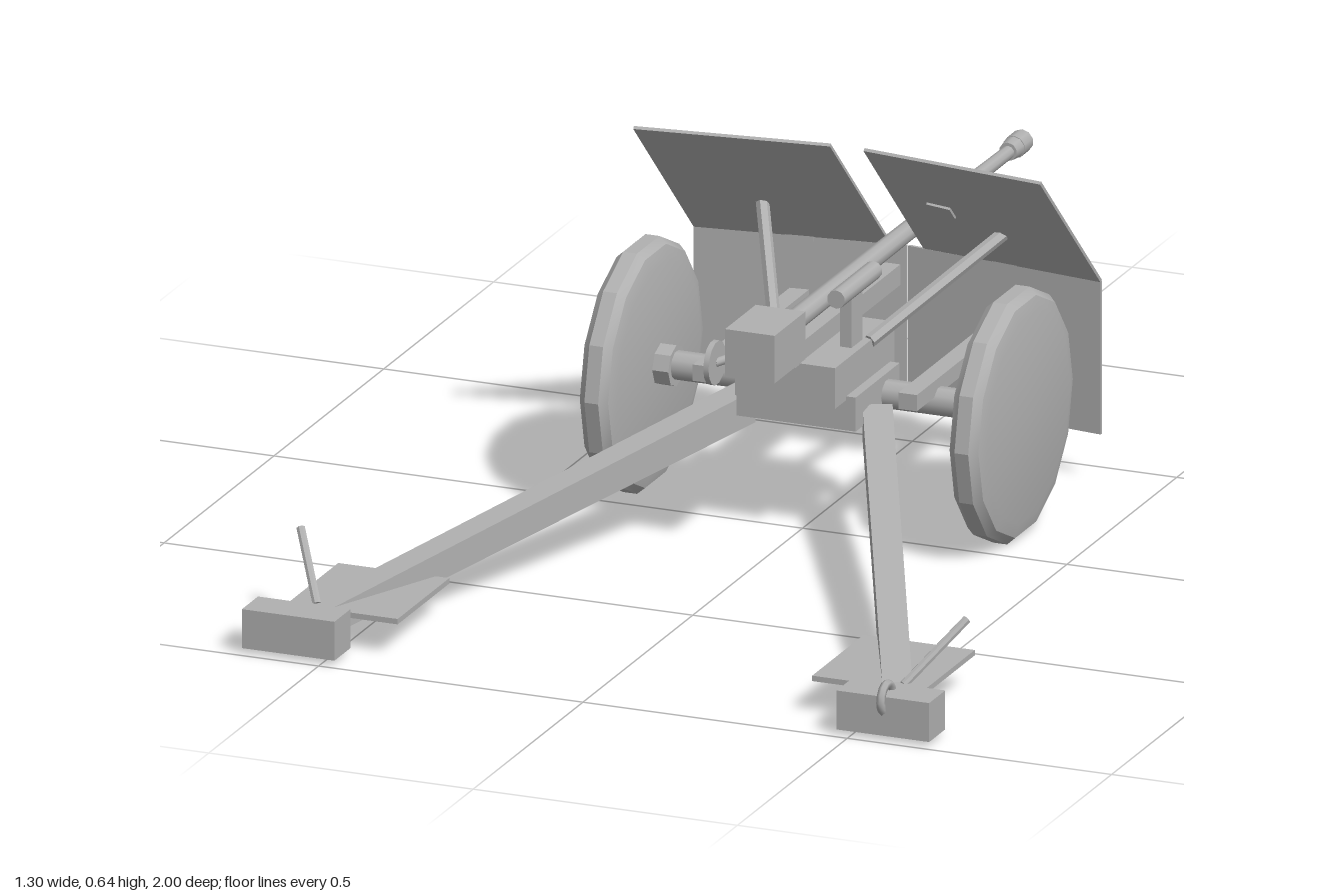
import * as THREE from 'three';
import { toCreasedNormals } from 'three/addons/utils/BufferGeometryUtils.js';
import { ConvexGeometry } from 'three/addons/geometries/ConvexGeometry.js';

const V = (x, y, z) => new THREE.Vector3(x, y, z);

export function createModel() {
  const root = new THREE.Group();
  root.name = 'fieldGun';
  const steel = new THREE.MeshStandardMaterial({ color: 0xb0b0b0 });
  steel.name = 'grey steel';

  const add = (name, geo) => {
    const m = new THREE.Mesh(geo, steel);
    m.name = name;
    root.add(m);
    return m;
  };
  // box given by its extents on each axis
  const box = (name, x0, x1, y0, y1, z0, z1) => {
    const m = add(name, new THREE.BoxGeometry(x1 - x0, y1 - y0, z1 - z0));
    m.position.set((x0 + x1) / 2, (y0 + y1) / 2, (z0 + z1) / 2);
    return m;
  };
  // round bar from a to b
  const rod = (name, a, b, ra, rb = ra, sides = 10) => {
    const d = b.clone().sub(a);
    const geo = new THREE.CylinderGeometry(rb, ra, d.length(), sides);
    const m = add(name, sides < 9 ? toCreasedNormals(geo, 0.5) : geo);
    m.position.copy(a).add(b).multiplyScalar(0.5);
    m.quaternion.setFromUnitVectors(V(0, 1, 0), d.normalize());
    return m;
  };
  // flat plate with four corners and a thickness
  const plate = (name, corners, t) => {
    const n = corners[1].clone().sub(corners[0])
      .cross(corners[3].clone().sub(corners[0])).normalize().multiplyScalar(t / 2);
    const pts = corners.flatMap(p => [p.clone().add(n), p.clone().sub(n)]);
    return add(name, new ConvexGeometry(pts));
  };

  // Barrel and muzzle
  rod('barrel', V(0, 0.405, -0.55), V(0, 0.403, -0.96), 0.015, 0.012);
  rod('barrelSleeve', V(0, 0.405, 0.12), V(0, 0.405, -0.58), 0.02, 0.017);
  rod('muzzleCollar', V(0, 0.404, -0.935), V(0, 0.404, -0.965), 0.017, 0.02);
  rod('muzzleBrake', V(0, 0.404, -0.962), V(0, 0.404, -1), 0.021);
  box('breech', -0.047, 0.047, 0.36, 0.448, 0.1, 0.24);

  // Cradle and carriage body
  box('cradle', -0.027, 0.027, 0.34, 0.378, -0.38, 0.1);
  box('upperCarriage', -0.095, 0.095, 0.268, 0.343, -0.19, 0.08);
  box('lowerCarriage', -0.113, 0.113, 0.212, 0.275, -0.17, 0.03);

  // Sight on the left of the barrel
  box('sightBracket', 0.058, 0.08, 0.34, 0.445, -0.08, -0.03);
  rod('sightTube', V(0.082, 0.457, 0.045), V(0.082, 0.457, -0.125), 0.017);

  // Elevating handwheel
  rod('handwheel', V(-0.136, 0.325, 0.085), V(-0.126, 0.325, 0.085), 0.04, 0.04, 14);
  rod('handwheelShaft', V(-0.13, 0.325, 0.085), V(-0.04, 0.35, 0.0), 0.008);

  // Axle
  rod('axle', V(-0.33, 0.237, -0.112), V(0.33, 0.237, -0.112), 0.026);

  // Wheel profile, slightly domed on the outside
  const profile = [[0, -0.034], [0.19, -0.033], [0.216, -0.026], [0.228, -0.012],
    [0.228, 0.014], [0.215, 0.028], [0.19, 0.034], [0, 0.037]].map(p => new THREE.Vector2(...p));
  const wheelGeo = toCreasedNormals(new THREE.LatheGeometry(profile, 14), 0.44);

  for (const s of [-1, 1]) {
    const side = s > 0 ? 'left' : 'right';
    const P = (x, y, z) => V(s * x, y, z);
    const sbox = (name, x0, x1, ...r) =>
      box(side + name, Math.min(s * x0, s * x1), Math.max(s * x0, s * x1), ...r);

    // Wheel and hub
    const wheel = add(side + 'Wheel', wheelGeo);
    wheel.rotation.z = -s * Math.PI / 2;
    wheel.position.set(s * 0.349, 0.231, -0.108);
    rod(side + 'Hub', P(0.285, 0.235, -0.112), P(0.325, 0.235, -0.112), 0.038, 0.038, 8);

    // Shield: lower half upright, upper half leaning back
    plate(side + 'LowerShield', [P(0.002, 0.095, -0.48), P(0.385, 0.095, -0.433),
      P(0.385, 0.378, -0.433), P(0.002, 0.378, -0.48)], 0.006);
    plate(side + 'UpperShield', [P(0.032, 0.378, -0.478), P(0.385, 0.378, -0.433),
      P(0.385, 0.648, -0.157), P(0.032, 0.648, -0.203)], 0.006);
    const hinge = sbox('ShieldHinge', 0.17, 0.22, 0.37, 0.386, -0.472, -0.452);
    hinge.rotation.y = -s * 0.12;
    rod(side + 'ShieldStay', P(0.09, 0.338, -0.09), P(0.23, 0.468, -0.37), 0.012, 0.012, 6);
    sbox('ShieldSupport', 0.177, 0.212, 0.25, 0.28, -0.455, -0.01);

    // Trail leg, tapered toward the spade
    const ends = [[0.125, 0.212, -0.04, 0.03], [0.545, 0.052, 0.88, 0.025]];
    const legPts = ends.flatMap(([x, y, z, h]) => [-1, 1].flatMap(w => [-1, 1].map(v =>
      P(x + w * 0.024, y + v * h, z - w * 0.011))));
    add(side + 'Trail', new ConvexGeometry(legPts));

    // Spade, ground plate and lifting handle
    sbox('GroundPlate', 0.392, 0.602, 0.068, 0.078, 0.665, 0.9);
    sbox('SpadeLink', 0.525, 0.585, 0.03, 0.075, 0.86, 0.925);
    sbox('Spade', 0.475, 0.65, 0.018, 0.09, 0.915, 0.988);
    rod(side + 'LiftHandle', P(0.555, 0.075, 0.875), P(0.63, 0.172, 0.768), 0.008, 0.008, 8);
  }

  // Sight port cover on the left upper shield
  const port = box('sightPort', 0.104, 0.15, 0.494, 0.53, -0.338, -0.322);
  port.rotation.set(0.79, -0.1, 0);

  // Towing eye on the left spade
  const eye = add('towingEye', new THREE.TorusGeometry(0.026, 0.008, 6, 14));
  eye.rotation.y = Math.PI / 2;
  eye.position.set(0.56, 0.08, 0.966);

  return root;
}
